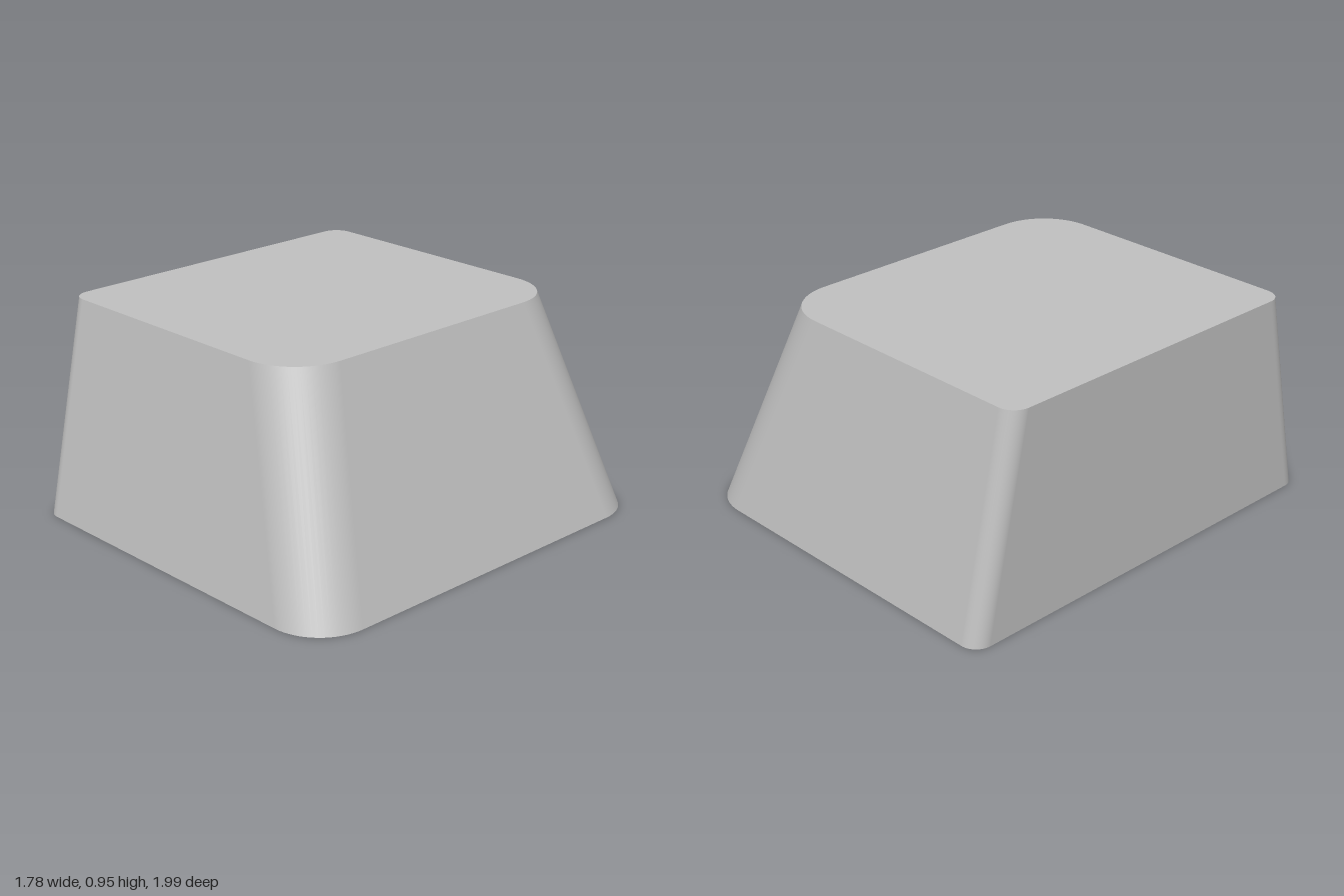
import * as THREE from 'three';

const HEIGHT = 0.955;
const ARC_STEPS = 16;

// Rounded outline, counter-clockwise seen from above (Vector2 y = -z)
function outline(left, right, half, leftRadius, rightRadius) {
  const corners = [
    [right - rightRadius, half - rightRadius, rightRadius, 0],
    [left + leftRadius, half - leftRadius, leftRadius, 1],
    [left + leftRadius, leftRadius - half, leftRadius, 2],
    [right - rightRadius, rightRadius - half, rightRadius, 3],
  ];
  const points = [];
  for (const [cx, cy, r, quarter] of corners) {
    for (let i = 0; i <= ARC_STEPS; i++) {
      const a = (quarter + i / ARC_STEPS) * Math.PI / 2;
      points.push(new THREE.Vector2(cx + r * Math.cos(a), cy + r * Math.sin(a)));
    }
  }
  return points;
}

// Smooth wall joining two outlines
function wallGeometry(bottom, top) {
  const positions = [], index = [], n = bottom.length;
  for (const p of bottom) positions.push(p.x, 0, -p.y);
  for (const p of top) positions.push(p.x, HEIGHT, -p.y);
  for (let i = 0; i < n; i++) {
    const j = (i + 1) % n;
    index.push(i, j, n + j, i, n + j, n + i);
  }
  const geometry = new THREE.BufferGeometry();
  geometry.setAttribute('position', new THREE.Float32BufferAttribute(positions, 3));
  geometry.setIndex(index);
  geometry.computeVertexNormals();
  return geometry;
}

export function createModel() {
  const group = new THREE.Group();
  group.name = 'taperedBlock';
  const grey = new THREE.MeshStandardMaterial({ color: 0xc0c0c0 });
  grey.name = 'light grey';

  const add = (name, geometry) => {
    const mesh = new THREE.Mesh(geometry, grey);
    mesh.name = name;
    group.add(mesh);
  };

  // The left side is upright; the other three lean inwards
  const bottom = outline(-0.877, 0.877, 0.986, 0.08, 0.24);
  const top = outline(-0.877, 0.532, 0.787, 0.08, 0.25);

  add('sideWall', wallGeometry(bottom, top));
  add('topFace', new THREE.ShapeGeometry(new THREE.Shape(top))
    .rotateX(-Math.PI / 2).translate(0, HEIGHT, 0));
  add('bottomFace', new THREE.ShapeGeometry(new THREE.Shape(bottom)).rotateX(Math.PI / 2));

  // Slight turn of the whole block
  group.rotation.y = -0.016;
  return group;
}
